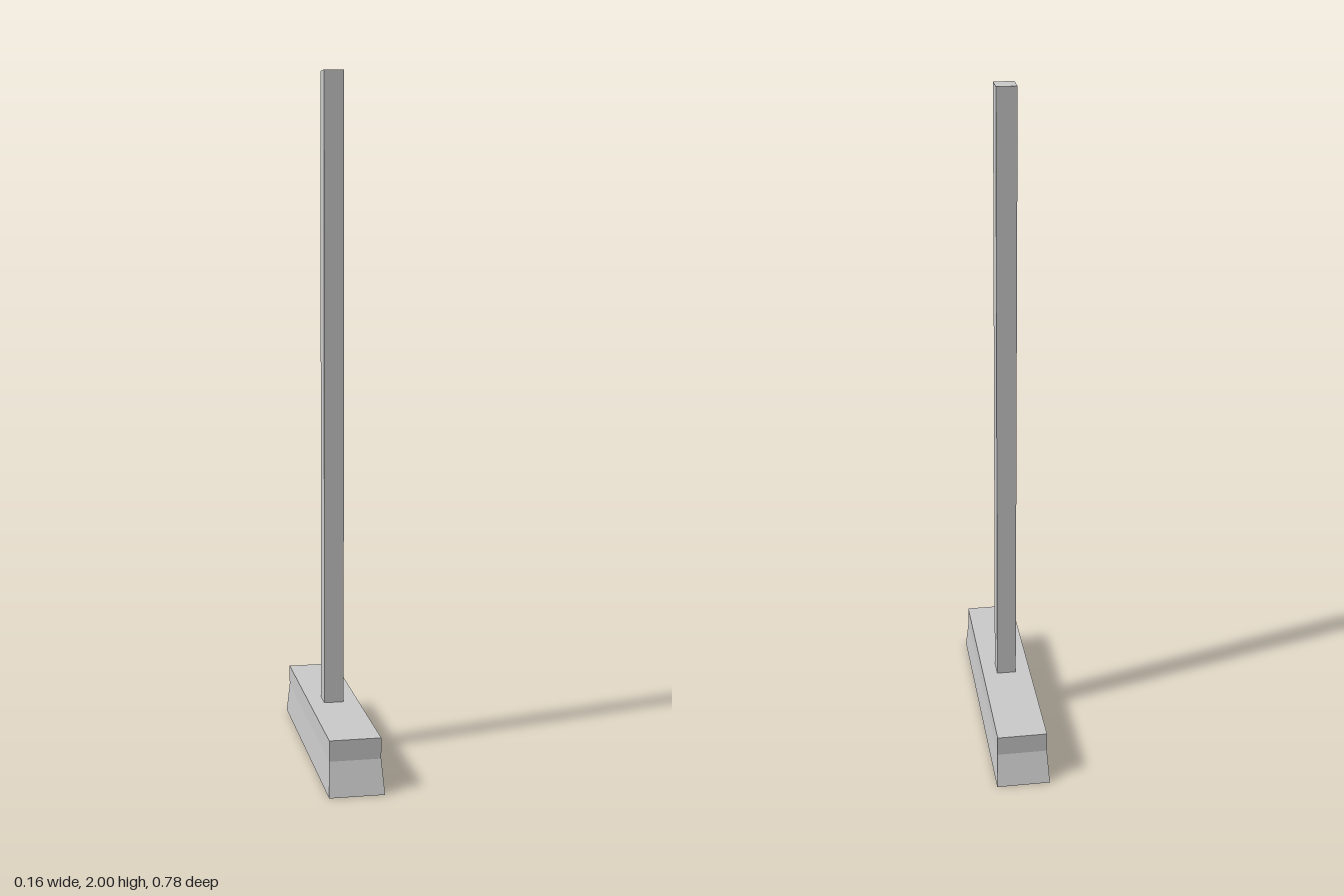
import * as THREE from 'three';

const HEAD = { x: 0.147, z: 0.725, bottom: 0.095, top: 0.155 };
const FLARE = { x: 0.158, z: 0.783 };

export function createModel() {
  const group = new THREE.Group();
  const material = new THREE.MeshStandardMaterial({ color: 0xcccccc, flatShading: true });

  // Box standing between two heights
  const addBox = (name, width, depth, bottom, top) => {
    const geometry = new THREE.BoxGeometry(width, top - bottom, depth);
    geometry.translate(0, (bottom + top) / 2, 0);
    const mesh = new THREE.Mesh(geometry, material);
    mesh.name = name;
    group.add(mesh);
    return mesh;
  };

  // Long square handle and the block it is set in
  addBox('handle', 0.058, 0.058, HEAD.top - 0.01, 2);
  addBox('headBlock', HEAD.x, HEAD.z, HEAD.bottom, HEAD.top);

  // Bristles: a box whose lower corners flare outwards
  const bristles = addBox('bristles', HEAD.x, HEAD.z, 0, HEAD.bottom).geometry;
  const position = bristles.attributes.position;
  for (let i = 0; i < position.count; i++) {
    if (position.getY(i) < HEAD.bottom / 2) {
      position.setX(i, Math.sign(position.getX(i)) * FLARE.x / 2);
      position.setZ(i, Math.sign(position.getZ(i)) * FLARE.z / 2);
    }
  }
  bristles.computeVertexNormals();

  return group;
}
